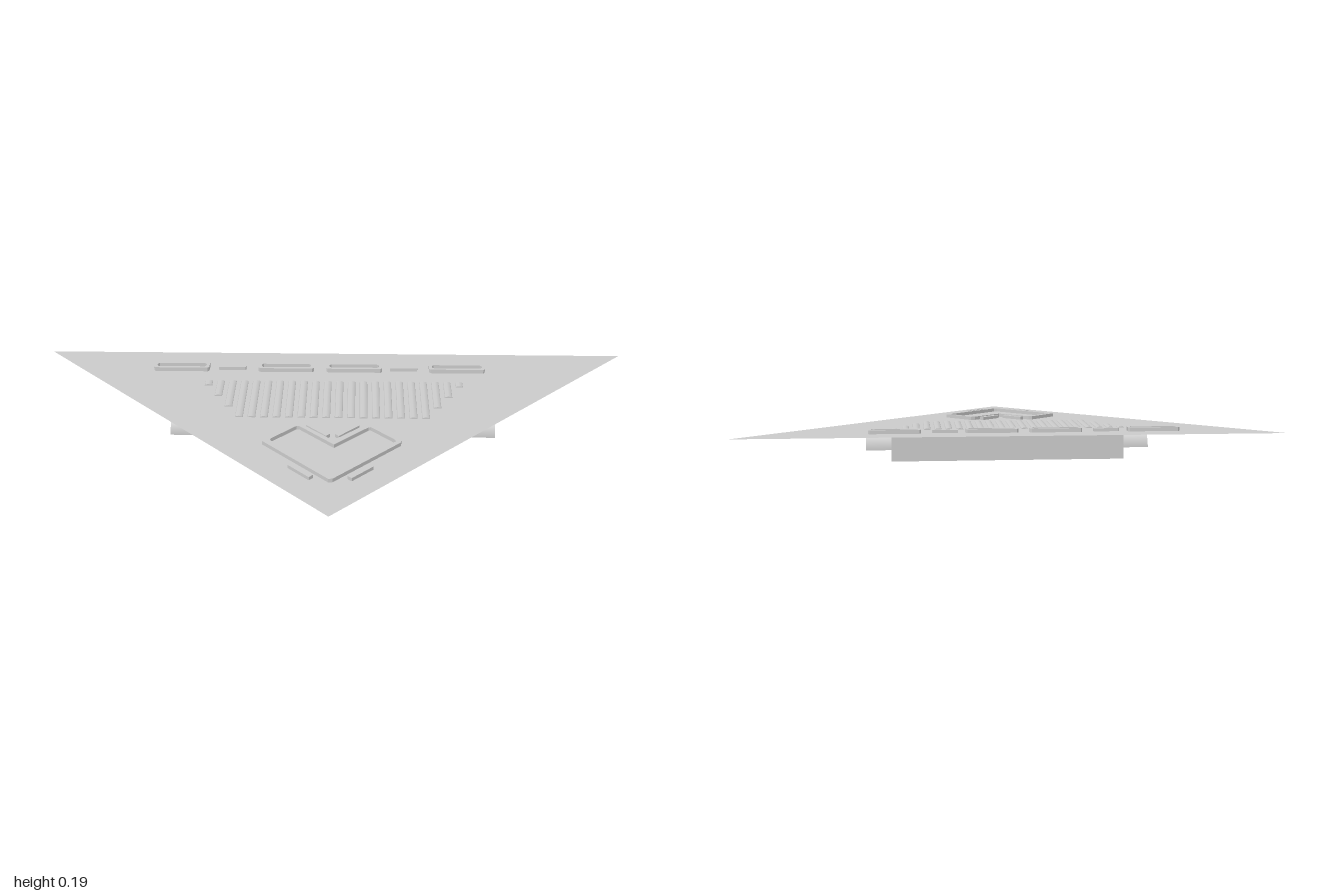
import * as THREE from 'three';

const PLATE_Y = 0.167;
const mat = new THREE.MeshStandardMaterial({ color: 0xcccccc, side: THREE.DoubleSide });
const flat = new THREE.MeshStandardMaterial({ color: 0xcccccc, side: THREE.DoubleSide, flatShading: true });

function add(parent, name, geometry, material = flat) {
  const mesh = new THREE.Mesh(geometry, material);
  mesh.name = name;
  parent.add(mesh);
  return mesh;
}

const points = (list) => list.map(([x, z]) => new THREE.Vector2(x, z));

// Prism from a plan outline given as [x, z], with an optional hole
function prism(outline, bottom, top, hole) {
  const shape = new THREE.Shape(points(outline));
  if (hole) shape.holes.push(new THREE.Path(points(hole)));
  const g = new THREE.ExtrudeGeometry(shape, { depth: top - bottom, bevelEnabled: false });
  return g.rotateX(Math.PI / 2).translate(0, top, 0);
}

// Rectangle outline with chamfered corners
function rect(cx, cz, w, d, c) {
  const a = w / 2, b = d / 2;
  return [[-a + c, -b], [a - c, -b], [a, -b + c], [a, b - c], [a - c, b], [-a + c, b], [-a, b - c], [-a, -b + c]]
    .map(([x, z]) => [x + cx, z + cz]);
}

export function createModel() {
  const model = new THREE.Group();
  model.name = 'triangularCraft';

  // Thin triangular deck
  const deck = new THREE.ShapeGeometry(new THREE.Shape(points([[-1, -1], [1, 1], [-1, 1]])));
  add(model, 'deckPlate', deck.rotateX(Math.PI / 2).translate(0, PLATE_Y, 0));

  // Diagonal assembly: local x runs along the long edge, local -z points to it
  const diag = new THREE.Group();
  diag.name = 'diagonalAssembly';
  diag.position.set(-0.3275, 0, 0.3275);
  diag.rotation.y = -Math.PI / 4;
  model.add(diag);

  // Trapezoid hull under the deck
  const back = 0.615, front = 0.43, zBack = -0.16, zFront = 0.166;
  add(diag, 'hull', prism([[-back, zBack], [back, zBack], [front, zFront], [-front, zFront]], 0, 0.162));

  // Open arched duct passing through the hull, with a narrow spine on top
  const duct = new THREE.CylinderGeometry(0.156, 0.156, 1.495, 5, 1, true, 0, Math.PI);
  duct.rotateZ(Math.PI / 2).scale(1, 0.64, 1).translate(0, 0.06, 0);
  add(diag, 'archedDuct', duct, mat);
  add(diag, 'ductSpine', new THREE.BoxGeometry(1.51, 0.011, 0.1).translate(0, 0.16, 0));

  // Ribbed grille trimmed to the hull outline
  const ribs = 22;
  for (let i = 0; i < ribs; i++) {
    const x = -0.598 + (1.196 * i) / (ribs - 1);
    const over = Math.max(0, Math.abs(x) - front) / (back - front);
    const z0 = zBack - 0.008, z1 = zFront - over * (zFront - zBack) + 0.006;
    const rib = new THREE.CylinderGeometry(0.021, 0.021, z1 - z0, 8);
    rib.rotateX(Math.PI / 2).scale(1, 0.55, 1).translate(x, 0.163, (z0 + z1) / 2);
    add(diag, 'grilleRib', rib, mat);
  }

  // Row of raised frames and small bars along the long edge
  const rowZ = -0.296;
  for (const x of [-0.744, -0.234, 0.097, 0.597]) {
    add(diag, 'edgeFrame', prism(rect(x, rowZ, 0.27, 0.06, 0.008), PLATE_Y, 0.187, rect(x, rowZ, 0.24, 0.032, 0.008)));
  }
  for (const x of [-0.497, 0.338]) {
    add(diag, 'edgeBar', prism(rect(x, rowZ, 0.133, 0.028, 0.002), PLATE_Y, 0.183));
  }

  // L-shaped raised frame in the square corner
  const outer = [[-0.83, 0.4], [-0.815, 0.387], [-0.62, 0.385], [-0.607, 0.4], [-0.602, 0.612], [-0.4, 0.617],
    [-0.38, 0.63], [-0.385, 0.82], [-0.4, 0.832], [-0.815, 0.832], [-0.83, 0.82]];
  const inner = [[-0.8, 0.42], [-0.79, 0.41], [-0.635, 0.41], [-0.626, 0.42], [-0.624, 0.64], [-0.41, 0.643],
    [-0.402, 0.65], [-0.402, 0.8], [-0.41, 0.81], [-0.79, 0.812], [-0.8, 0.8]];
  add(model, 'cornerFrame', prism(outer, PLATE_Y, 0.185, inner));

  // Small bars around the L frame: centre x, centre z, width, depth
  const bars = [[-0.582, 0.495, 0.027, 0.133], [-0.49, 0.588, 0.133, 0.027],
    [-0.864, 0.685, 0.027, 0.133], [-0.687, 0.869, 0.133, 0.027]];
  for (const [x, z, w, d] of bars) {
    add(model, 'cornerBar', prism(rect(x, z, w, d, 0.002), PLATE_Y, 0.183));
  }
  return model;
}
